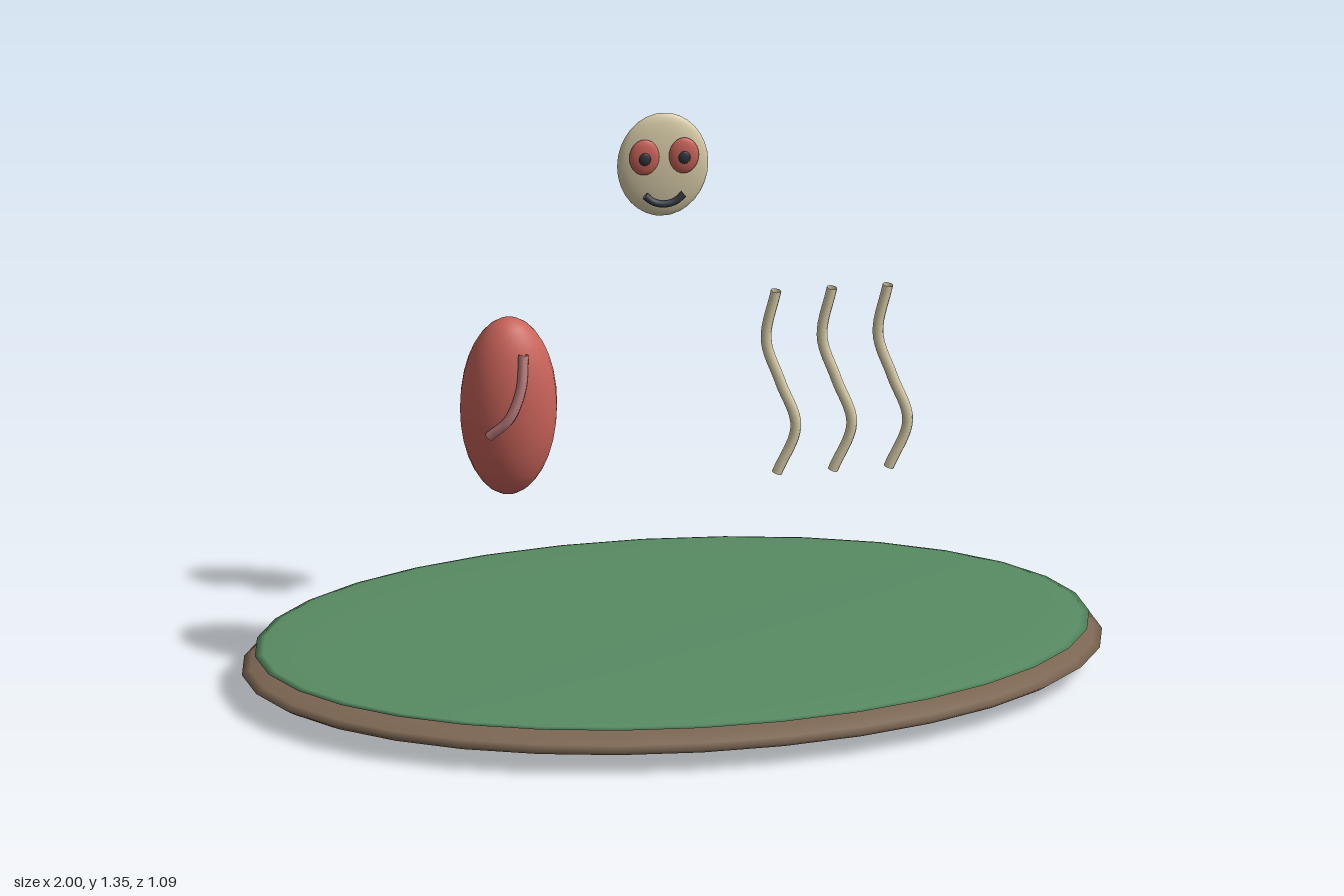
import * as THREE from 'three';

const material = (color, side = THREE.FrontSide) => new THREE.MeshStandardMaterial({ color, side });

// Sphere scaled into an ellipsoid
function ellipsoid(name, color, [x, y, z], [rx, ry, rz], w = 32, h = 16) {
  const geometry = new THREE.SphereGeometry(1, w, h).scale(rx, ry, rz);
  const mesh = new THREE.Mesh(geometry, material(color));
  mesh.name = name;
  mesh.position.set(x, y, z);
  return mesh;
}

// Round tube through a few points
function tube(name, color, points, radius, segments = 24) {
  const curve = new THREE.CatmullRomCurve3(points.map((p) => new THREE.Vector3(...p)));
  const geometry = new THREE.TubeGeometry(curve, segments, radius, 8);
  const mesh = new THREE.Mesh(geometry, material(color, THREE.DoubleSide));
  mesh.name = name;
  return mesh;
}

export function createModel() {
  const model = new THREE.Group();
  model.name = 'floatingScene';
  const red = 0xc9635a, cream = 0xd8cca8, dark = 0x30343c;

  // Flat oval island: earth with a thin layer of grass
  model.add(
    ellipsoid('earthBase', 0x7d6753, [0, 0.06, 0], [1, 0.06, 0.545]),
    ellipsoid('grassTop', 0x588c63, [0, 0.106, 0], [0.97, 0.018, 0.525]),
  );

  // Red oval body with a curved ridge on its front
  const body = new THREE.Group();
  body.name = 'redOval';
  body.add(
    ellipsoid('ovalBody', red, [-0.38, 0.708, 0], [0.113, 0.222, 0.088], 24, 16),
    tube('ovalRidge', 0xc08080, [
      [-0.354, 0.865, 0.067], [-0.363, 0.785, 0.088], [-0.392, 0.715, 0.096], [-0.436, 0.668, 0.08],
    ], 0.012),
  );
  model.add(body);

  // Three wavy strands
  for (let i = 0; i < 3; i++) {
    const strand = tube('wavyStrand', cream, [
      [0.242, 0.962, 0], [0.219, 0.84, 0], [0.252, 0.73, 0], [0.288, 0.615, 0], [0.244, 0.5, 0],
    ], 0.0125, 32);
    strand.position.x = i * 0.13;
    model.add(strand);
  }

  // Flat oval face with eyes and smile
  const face = new THREE.Group();
  face.name = 'face';
  face.add(ellipsoid('faceOval', cream, [0, 1.222, -0.165], [0.106, 0.13, 0.026], 24, 16));
  for (const side of [-1, 1]) {
    face.add(
      ellipsoid('eye', red, [side * 0.046, 1.253, -0.14], [0.035, 0.045, 0.012], 16, 12),
      ellipsoid('pupil', dark, [side * 0.046, 1.253, -0.128], [0.014, 0.016, 0.006], 12, 8),
    );
  }
  face.add(tube('smile', dark, [
    [-0.045, 1.158, -0.134], [-0.025, 1.143, -0.13], [0, 1.138, -0.128], [0.025, 1.143, -0.13], [0.045, 1.158, -0.134],
  ], 0.009));
  model.add(face);

  return model;
}
